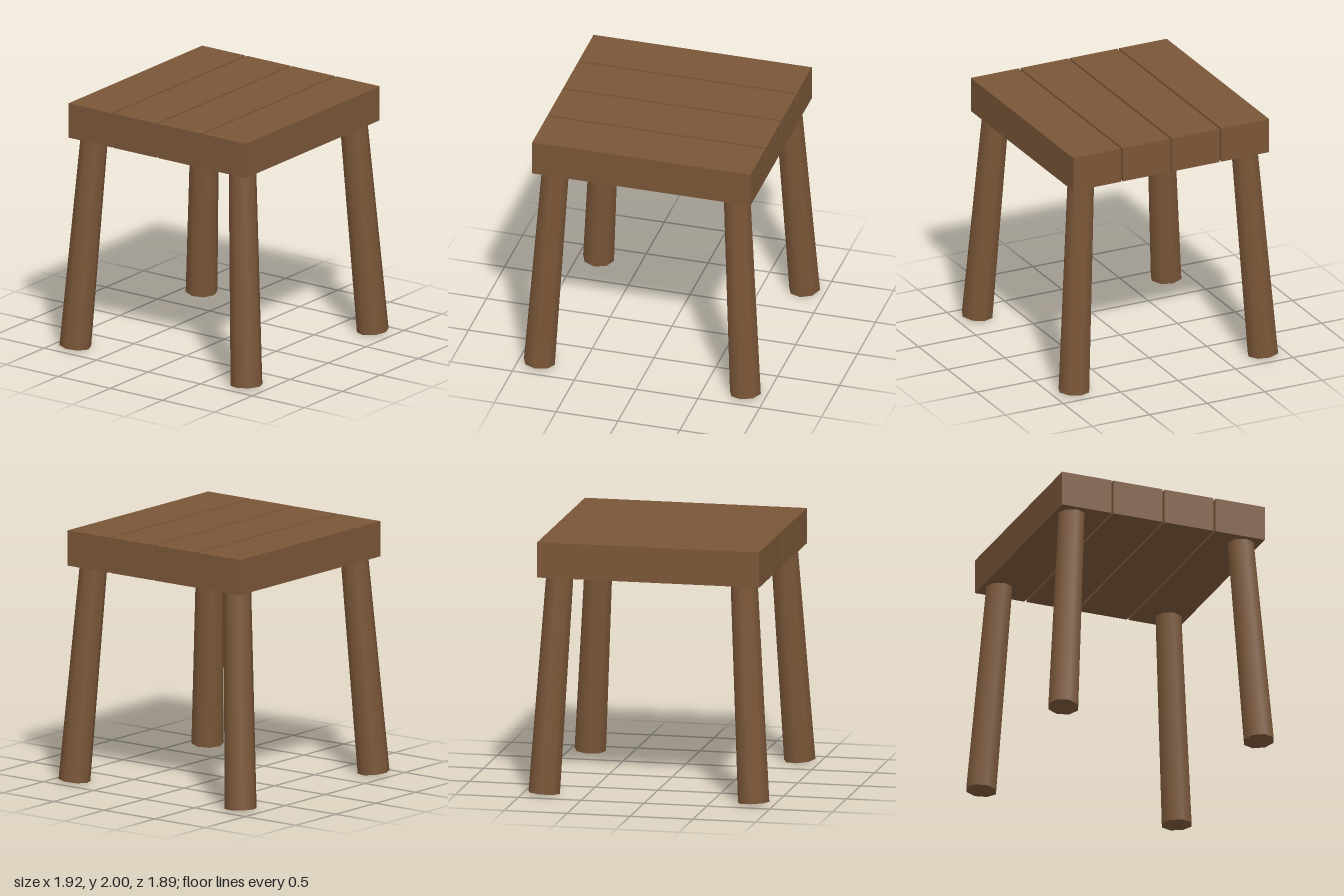
import * as THREE from 'three';

export function createModel() {
  const group = new THREE.Group();
  const wood = new THREE.MeshStandardMaterial({ color: 0x7a5638 });
  wood.name = 'brown wood';

  // Seat: four thick planks with narrow gaps
  const seat = new THREE.Group();
  seat.name = 'seat';
  const plankGeometry = new THREE.BoxGeometry(1.765, 0.28, 0.413);
  for (let i = 0; i < 4; i++) {
    const plank = new THREE.Mesh(plankGeometry, wood);
    plank.name = 'plank';
    plank.position.set(0, 1.86, (i - 1.5) * 0.43);
    seat.add(plank);
  }
  group.add(seat);

  // Legs: tapered eight-sided posts splayed outwards
  const up = new THREE.Vector3(0, 1, 0);
  for (const sx of [-1, 1]) {
    for (const sz of [-1, 1]) {
      const foot = new THREE.Vector3(sx * 0.833, 0.011, sz * 0.822);
      const head = new THREE.Vector3(sx * 0.732, 1.74, sz * 0.71);
      const axis = head.clone().sub(foot);
      const leg = new THREE.Mesh(new THREE.CylinderGeometry(0.108, 0.125, axis.length(), 8), wood);
      leg.name = (sz > 0 ? 'front' : 'back') + (sx > 0 ? 'Left' : 'Right') + 'Leg';
      leg.position.copy(foot).add(head).multiplyScalar(0.5);
      leg.quaternion.setFromUnitVectors(up, axis.normalize());
      group.add(leg);
    }
  }
  return group;
}
